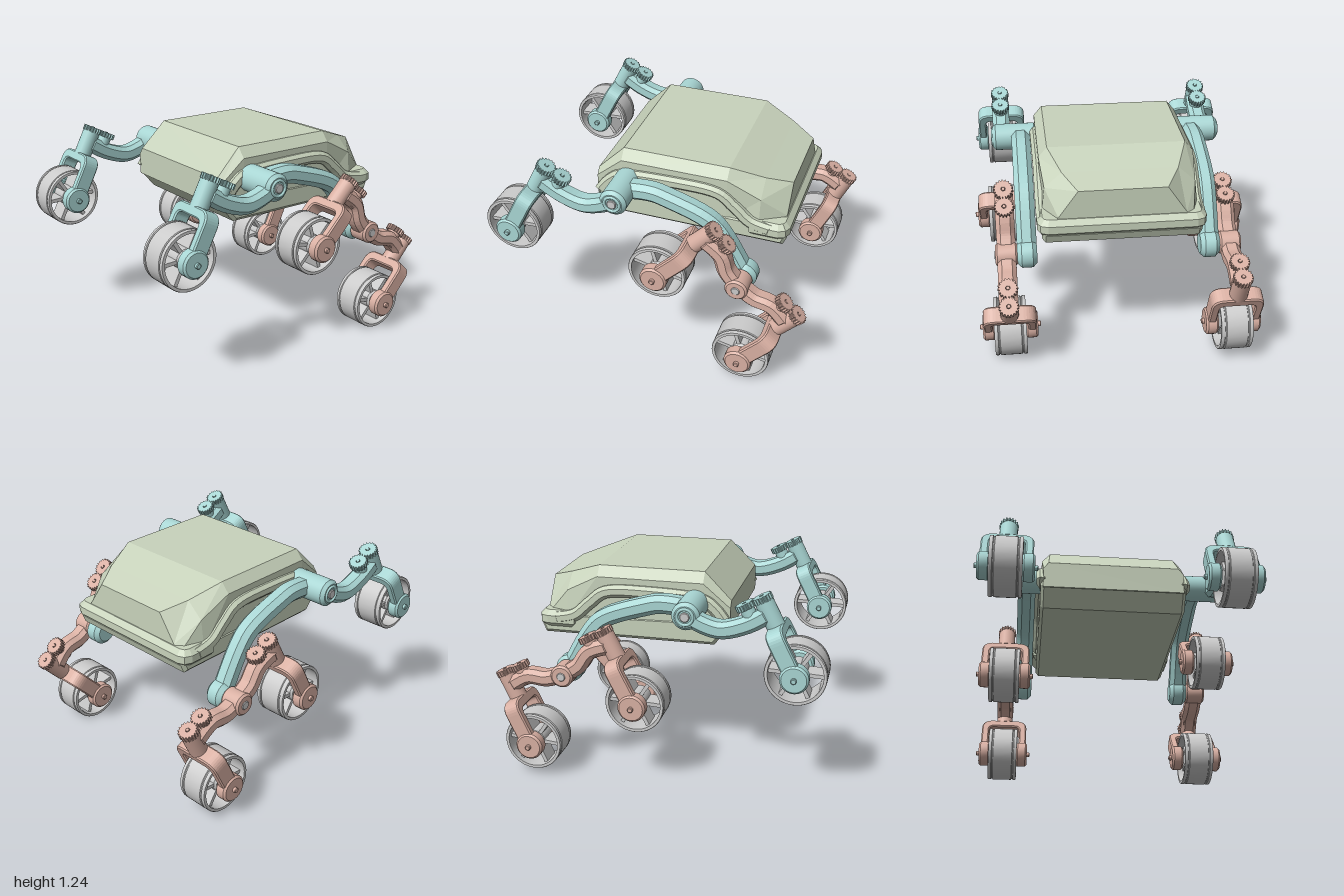
import * as THREE from 'three';
import { toCreasedNormals } from 'three/addons/utils/BufferGeometryUtils.js';

const mat = (color, flatShading = false) => new THREE.MeshStandardMaterial({ color, flatShading });
const GREEN = mat(0xc8d3bc, true), TEAL = mat(0xa9d6d4), PINK = mat(0xd9b0a3), GREY = mat(0xcccccc);
const V2 = (x, y) => new THREE.Vector2(x, y);

function add(parent, name, geo, material, x = 0, y = 0, z = 0) {
  const m = new THREE.Mesh(geo, material);
  m.name = name;
  m.position.set(x, y, z);
  parent.add(m);
  return m;
}

// Extrusion centred on z whose chamfer stays inside the outline
function slab(shape, depth, bevel, curveSegments = 8) {
  const g = new THREE.ExtrudeGeometry(shape, {
    depth: depth - 2 * bevel, bevelEnabled: bevel > 0, bevelThickness: bevel,
    bevelSize: bevel, bevelOffset: -bevel, bevelSegments: 1, curveSegments });
  return g.translate(0, 0, -depth / 2 + bevel);
}

// Chamfered bar of constant width following a smooth path in x and y
function bar(points, width, depth, bevel, steps = 16) {
  const curve = new THREE.SplineCurve(points.map(p => V2(p[0], p[1])));
  const left = [], right = [];
  for (let i = 0; i <= steps; i++) {
    const p = curve.getPoint(i / steps), t = curve.getTangent(i / steps);
    left.push(V2(p.x - t.y * width / 2, p.y + t.x * width / 2));
    right.push(V2(p.x + t.y * width / 2, p.y - t.x * width / 2));
  }
  return slab(new THREE.Shape(right.concat(left.reverse())), depth, bevel);
}

// Cylinder along z with chamfered ends
function boss(r, depth, bevel = 0.012) {
  const h = depth / 2;
  const g = new THREE.LatheGeometry([V2(0, -h), V2(r - bevel, -h), V2(r, -h + bevel),
    V2(r, h - bevel), V2(r - bevel, h), V2(0, h)], 28);
  return toCreasedNormals(g.rotateX(Math.PI / 2), 0.5);
}

// Toothed gear with its axis along y
function gearGeometry() {
  const pts = [], teeth = 18;
  for (let i = 0; i < teeth * 4; i++) {
    const a = i / (teeth * 4) * Math.PI * 2, r = i % 4 < 2 ? 0.058 : 0.049;
    pts.push(V2(r * Math.cos(a), r * Math.sin(a)));
  }
  const s = new THREE.Shape(pts);
  s.holes.push(new THREE.Path().absarc(0, 0, 0.013, 0, Math.PI * 2, true));
  return slab(s, 0.034, 0).rotateX(-Math.PI / 2);
}

// U-shaped fork, arched over the wheel
function forkGeometry() {
  const s = new THREE.Shape();
  s.moveTo(-0.155, -0.03); s.lineTo(-0.155, 0.21);
  s.quadraticCurveTo(-0.155, 0.285, -0.08, 0.285); s.lineTo(0.08, 0.285);
  s.quadraticCurveTo(0.155, 0.285, 0.155, 0.21); s.lineTo(0.155, -0.03);
  s.lineTo(0.105, -0.03); s.lineTo(0.105, 0.19);
  s.quadraticCurveTo(0.105, 0.225, 0.07, 0.225); s.lineTo(-0.07, 0.225);
  s.quadraticCurveTo(-0.105, 0.225, -0.105, 0.19); s.lineTo(-0.105, -0.03);
  s.closePath();
  return slab(s, 0.1, 0.008).rotateY(Math.PI / 2);
}

// Hollow rim with grooves, axis along z
function rimGeometry() {
  const p = [[0.155, -0.095], [0.172, -0.095], [0.175, -0.09], [0.175, -0.075], [0.169, -0.072],
    [0.169, -0.066], [0.175, -0.063], [0.175, 0.063], [0.169, 0.066], [0.169, 0.072],
    [0.175, 0.075], [0.175, 0.09], [0.172, 0.095], [0.155, 0.095], [0.155, -0.095]];
  const g = new THREE.LatheGeometry(p.map(q => V2(q[0], q[1])), 48);
  return toCreasedNormals(g.rotateX(Math.PI / 2), 0.4);
}

const GEAR = gearGeometry(), FORK = forkGeometry(), RIM = rimGeometry();

// Steered wheel: origin at the hub, steering axis along y tilted to angle
function wheelUnit(parent, name, x, y, z, angle, motorSide, paint) {
  const g = new THREE.Group();
  g.name = name;
  g.position.set(x, y, z);
  g.rotation.z = angle - Math.PI / 2;
  parent.add(g);
  add(g, 'rim', RIM, GREY);
  add(g, 'wheelHub', boss(0.06, 0.14), GREY);
  for (let i = 0; i < 6; i++) {
    const spoke = new THREE.BoxGeometry(0.022, 0.12, 0.12).translate(0, 0.105, 0);
    add(g, 'spoke', spoke, GREY).rotation.z = i * Math.PI / 3;
  }
  add(g, 'fork', FORK, paint);
  for (const s of [-1, 1]) {
    add(g, 'axleCap', boss(0.082, 0.075), paint, 0, 0, s * 0.127);
    add(g, 'axleBolt', boss(0.016, 0.03, 0.004), paint, 0, 0, s * 0.168);
  }
  add(g, 'steeringColumn', new THREE.CylinderGeometry(0.054, 0.054, 0.16, 20), paint, 0, 0.355);
  add(g, 'steeringGear', GEAR, paint, 0, 0.449);
  add(g, 'steeringMotor', new THREE.CylinderGeometry(0.042, 0.042, 0.1, 20), paint, motorSide * 0.106, 0.385);
  add(g, 'motorGear', GEAR, paint, motorSide * 0.106, 0.449).rotation.y = Math.PI / 18;
  for (const px of [0, motorSide * 0.106])
    add(g, 'gearPin', new THREE.CylinderGeometry(0.01, 0.01, 0.04, 10), paint, px, 0.449);
}

// Bogie: two mirrored arms, each with a wheel, around its pivot
function bogie(parent, z, turn) {
  const g = new THREE.Group();
  g.name = 'bogie';
  g.position.set(0.553, 0.655, z);
  g.rotation.z = turn;
  parent.add(g);
  const fold = 1.628, c = Math.cos(fold), s = Math.sin(fold);
  const reflect = ([x, y]) => [x * c + y * s, x * s - y * c];
  const path = [[-0.213, 0.282], [-0.11, 0.2], [-0.072, 0.09], [0, 0]];
  const hub = [-0.467, 0.025], hub2 = reflect(hub), lean = 0.795;
  add(g, 'bogieArm', bar(path, 0.095, 0.11, 0.025), PINK);
  add(g, 'bogieArm', bar(path.map(reflect), 0.095, 0.11, 0.025), PINK);
  add(g, 'bogiePivot', boss(0.068, 0.13), PINK);
  add(g, 'pivotBolt', boss(0.026, 0.14, 0.004), GREY);
  wheelUnit(g, 'middleWheel', hub[0], hub[1], 0, lean, 1, PINK);
  wheelUnit(g, 'frontWheel', hub2[0], hub2[1], 0, fold - lean, -1, PINK);
}

// Rocker, its wheel and the bogie on one side
function suspension(parent, side, bogieTurn) {
  const g = new THREE.Group();
  g.name = side > 0 ? 'leftSuspension' : 'rightSuspension';
  parent.add(g);
  const inner = side * 0.54, outer = side * 0.66;
  const front = [[-0.19, 1.08], [-0.03, 1.095], [0.08, 1.075], [0.31, 0.995], [0.42, 0.89], [0.553, 0.655]];
  const rear = [[-0.654, 1.125], [-0.54, 1.055], [-0.4, 1.01], [-0.29, 1.03], [-0.19, 1.08]];
  add(g, 'rockerFrontArm', bar(front, 0.11, 0.115, 0.03, 28), TEAL, 0, 0, inner);
  add(g, 'rockerRearArm', bar(rear, 0.1, 0.11, 0.025), TEAL, 0, 0, outer);
  add(g, 'rockerPivot', boss(0.082, 0.28, 0.02), TEAL, -0.19, 1.08, side * 0.575);
  add(g, 'pivotRing', new THREE.TorusGeometry(0.046, 0.009, 8, 28), TEAL, -0.19, 1.08, side * 0.715);
  add(g, 'pivotBolt', boss(0.028, 0.02, 0.004), GREY, -0.19, 1.08, side * 0.715);
  add(g, 'rockerEnd', boss(0.084, 0.115, 0.025), TEAL, 0.553, 0.655, inner);
  wheelUnit(g, 'rearWheel', -0.82, 0.805, outer, 1.095, 1, TEAL);
  bogie(g, outer, bogieTurn);
}

// Upper shell lofted along x: [x, top y, top half width, shoulder y, shoulder half width, base half width]
function shellGeometry() {
  const rows = [[-0.396, 1.1, 0.41, 1.06, 0.44, 0.44], [-0.235, 1.26, 0.4, 1.2, 0.45, 0.45],
    [0.405, 1.26, 0.4, 1.2, 0.45, 0.45], [0.6, 1.19, 0.33, 1.1, 0.43, 0.45], [0.745, 1.14, 0.25, 0.98, 0.36, 0.4]];
  const pos = [], idx = [], n = 6, last = (rows.length - 1) * n;
  for (const [x, yt, zt, ys, zs, zb] of rows)
    for (const [z, y] of [[zb, 0.93], [zs, ys], [zt, yt], [-zt, yt], [-zs, ys], [-zb, 0.93]]) pos.push(x, y, z);
  for (let i = 0; i < last; i += n)
    for (let j = 0; j < n; j++) {
      const a = i + j, b = i + (j + 1) % n, c = b + n, d = a + n;
      idx.push(a, d, c, a, c, b);
    }
  for (let j = 1; j < n - 1; j++) idx.push(0, j, j + 1, last, last + j + 1, last + j);
  const g = new THREE.BufferGeometry();
  g.setAttribute('position', new THREE.Float32BufferAttribute(pos, 3));
  g.setIndex(idx);
  const flat = g.toNonIndexed();
  flat.computeVertexNormals();
  return flat;
}

function body(parent) {
  const g = new THREE.Group();
  g.name = 'body';
  parent.add(g);
  add(g, 'upperShell', shellGeometry(), GREEN);
  const hull = [[-0.396, 0.98], [-0.396, 0.94], [-0.3, 0.83], [0.745, 0.83], [0.765, 0.88], [0.745, 0.96]];
  add(g, 'lowerHull', slab(new THREE.Shape(hull.map(p => V2(p[0], p[1]))), 0.91, 0.02), GREEN);
  // Rim around the nose
  const nose = [[0.55, -0.48], [0.72, -0.48], [0.762, -0.462], [0.78, -0.42],
    [0.78, 0.42], [0.762, 0.462], [0.72, 0.48], [0.55, 0.48]];
  const rim = slab(new THREE.Shape(nose.map(p => V2(p[0], p[1]))), 0.105, 0.03).rotateX(-Math.PI / 2);
  add(g, 'noseRim', rim, GREEN, 0, 0.922, 0);
  // Raised trim arching over each rocker
  const arch = [[-0.375, 0.965], [-0.3, 1.06], [-0.2, 1.11], [0.1, 1.125], [0.34, 1.115],
    [0.45, 1.04], [0.55, 0.955], [0.68, 0.925]];
  for (const s of [-1, 1])
    add(g, 'sideTrim', bar(arch, 0.075, 0.07, 0.02, 36), GREEN, 0, 0, s * 0.447);
}

export function createModel() {
  const model = new THREE.Group();
  model.name = 'rover';
  body(model);
  suspension(model, 1, 0);
  suspension(model, -1, 0.302);
  return model;
}
